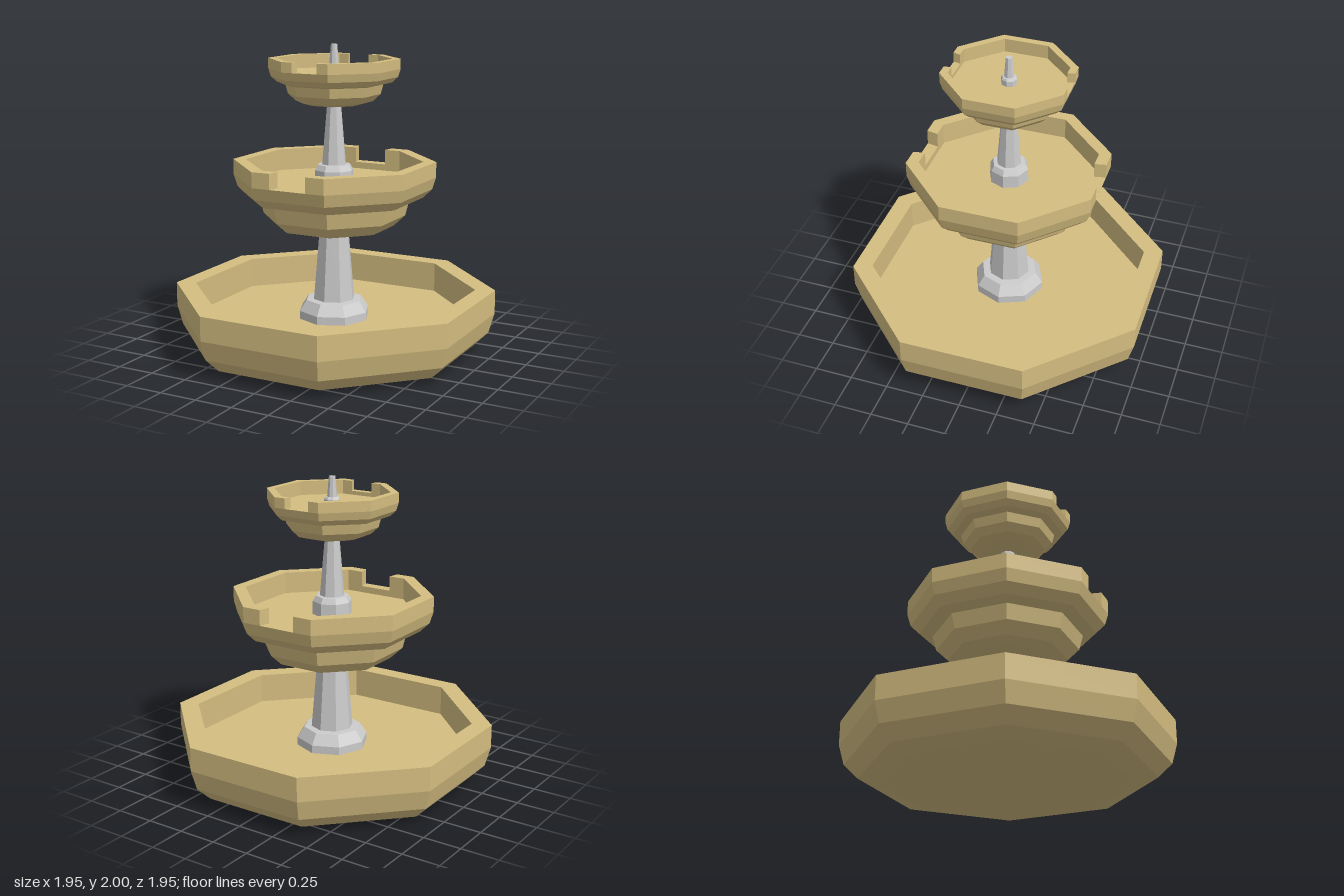
import * as THREE from 'three';

const SIDES = 8;
const HALF = Math.PI / SIDES;

const stone = new THREE.MeshStandardMaterial({ color: 0xd4bd80, flatShading: true });
const metal = new THREE.MeshStandardMaterial({ color: 0xcccccc, flatShading: true });

// Eight-sided turning from a profile of [radius, y], bottom up
function turning(name, profile, material, start) {
  const points = profile.map(([r, y]) => new THREE.Vector2(r, y));
  const mesh = new THREE.Mesh(new THREE.LatheGeometry(points, SIDES, start, Math.PI * 2), material);
  mesh.name = name;
  return mesh;
}

// Stone basins have flats facing the axes, and their radii are measured to the flats
function basinTurning(name, profile) {
  return turning(name, profile.map(([r, y]) => [r / Math.cos(HALF), y]), stone, HALF);
}

// Columns have corners facing the axes, and their radii are measured to the corners
function columnTurning(name, profile) {
  return turning(name, profile, metal, 0);
}

// Half of an octagonal rim, running on the +x side from the front spout gap to the back one
function rimHalf(outer, inner, gapOuter, gapInner, y, height) {
  const edge = (a, gap) => {
    const h = a * Math.tan(HALF);
    return [[gap, -a], [h, -a], [a, -h], [a, h], [h, a], [gap, a]];
  };
  const outline = [...edge(outer, gapOuter), ...edge(inner, gapInner).reverse()];
  const shape = new THREE.Shape(outline.map(([x, z]) => new THREE.Vector2(x, z)));
  const geometry = new THREE.ExtrudeGeometry(shape, { depth: height, bevelEnabled: false });
  geometry.rotateX(-Math.PI / 2).translate(0, y, 0);
  return geometry;
}

// Two-tier bowl: the floor lies below a sill, and the rim on the sill has gaps at front and back
function spoutBowl(name, profile, { floor, top, inner, gapOuter, gapInner }) {
  const bowl = new THREE.Group();
  bowl.name = name;
  const [outer, sill] = profile[profile.length - 1];
  bowl.add(basinTurning(name + 'Body', [
    [0, profile[0][1]], ...profile, [inner, sill], [inner, floor], [0, floor],
  ]));
  const rim = rimHalf(outer, inner, gapOuter, gapInner, sill, top - sill);
  for (const turn of [0, Math.PI]) {
    const half = new THREE.Mesh(rim, stone);
    half.name = name + (turn ? 'RimRight' : 'RimLeft');
    half.rotation.y = turn;
    bowl.add(half);
  }
  return bowl;
}

export function createModel() {
  const fountain = new THREE.Group();
  fountain.name = 'fountain';

  // Ground basin
  fountain.add(basinTurning('basin', [
    [0, 0], [0.725, 0], [0.855, 0.037], [0.939, 0.125], [0.973, 0.255], [0.973, 0.412],
    [0.853, 0.412], [0.853, 0.212], [0, 0.212],
  ]));

  // Upper bowls
  fountain.add(spoutBowl('middleBowl', [
    [0.265, 0.805], [0.358, 0.83], [0.427, 0.9], [0.45, 0.998],
    [0.53, 1.018], [0.585, 1.075], [0.607, 1.153],
  ], { floor: 1.11, top: 1.253, inner: 0.531, gapOuter: 0.125, gapInner: 0.11 }));
  fountain.add(spoutBowl('topBowl', [
    [0.165, 1.62], [0.23, 1.64], [0.275, 1.686], [0.29, 1.748],
    [0.342, 1.76], [0.376, 1.795], [0.39, 1.845],
  ], { floor: 1.82, top: 1.91, inner: 0.343, gapOuter: 0.087, gapInner: 0.075 }));

  // Tapered columns, each with a chamfered collar at its foot
  fountain.add(columnTurning('lowerColumn', [
    [0, 0.212], [0.235, 0.212], [0.235, 0.265], [0.188, 0.335], [0.138, 0.338], [0.098, 0.806], [0, 0.806],
  ]));
  fountain.add(columnTurning('upperColumn', [
    [0, 1.11], [0.129, 1.11], [0.127, 1.195], [0.107, 1.23], [0.08, 1.232], [0.048, 1.605], [0, 1.605],
  ]));
  fountain.add(columnTurning('nozzle', [
    [0, 1.82], [0.051, 1.82], [0.051, 1.855], [0.043, 1.868], [0.032, 1.87], [0.021, 2], [0, 2],
  ]));

  fountain.rotation.y = 0.008;
  return fountain;
}
